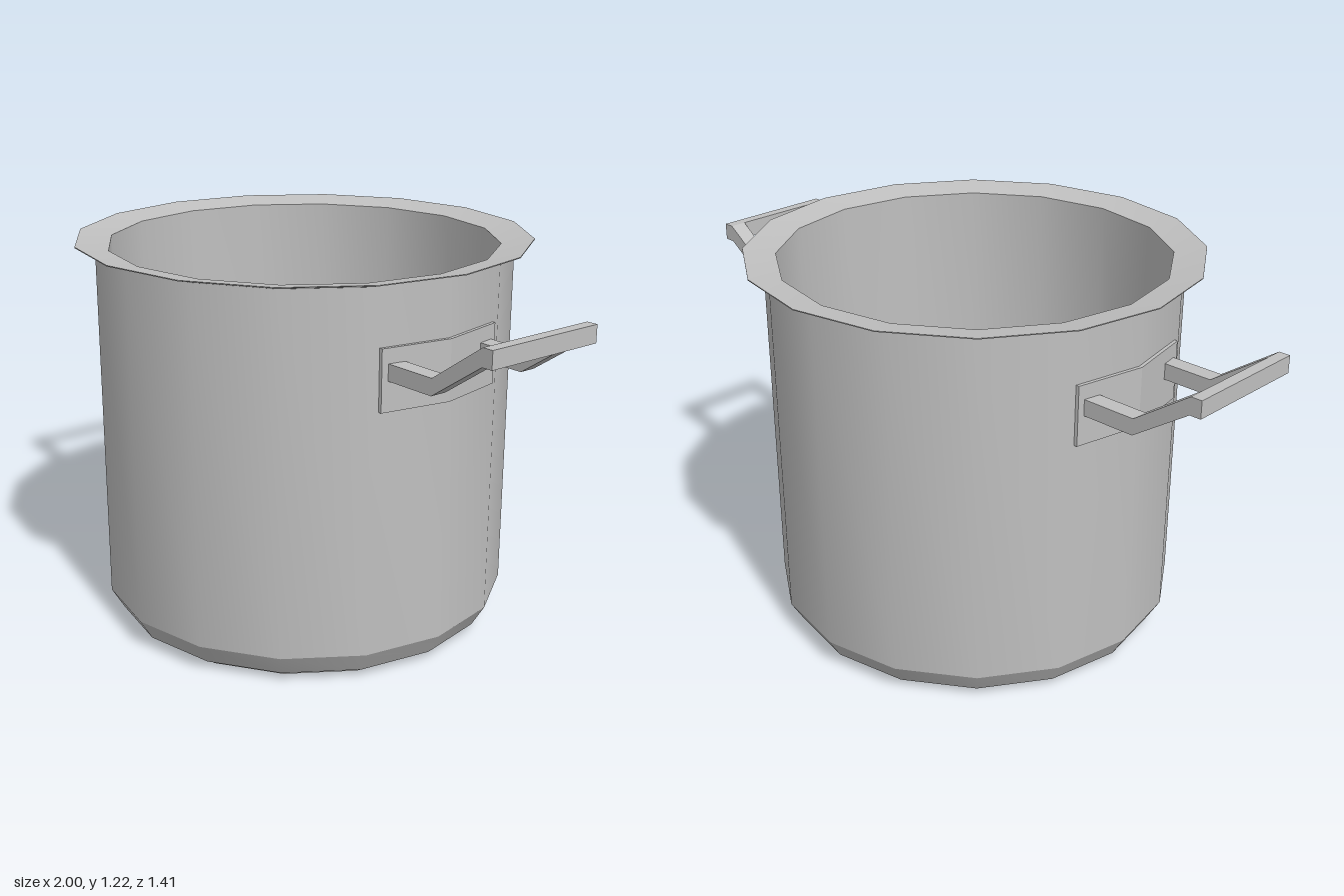
import * as THREE from 'three';
import { toCreasedNormals } from 'three/addons/utils/BufferGeometryUtils.js';

const steel = new THREE.MeshStandardMaterial({ color: 0xc0c0c0 });
steel.name = 'steel grey';

function part(name, geometry) {
  const mesh = new THREE.Mesh(geometry, steel);
  mesh.name = name;
  return mesh;
}

// Sixteen-sided turned part: smooth around, crisp along profile corners
function turned(name, profile) {
  const points = profile.map(([r, y]) => new THREE.Vector2(r, y));
  return part(name, toCreasedNormals(new THREE.LatheGeometry(points, 16), 0.45));
}

function extruded(outline, depth) {
  const shape = new THREE.Shape(outline.map(([x, y]) => new THREE.Vector2(x, y)));
  return new THREE.ExtrudeGeometry(shape, { depth, bevelEnabled: false });
}

function createHandle(name) {
  const handle = new THREE.Group();
  handle.name = name;

  // Mounting plate folded around the wall
  const plate = extruded([
    [0.592, -0.22], [0.612, -0.22], [0.656, 0], [0.612, 0.22], [0.592, 0.22], [0.636, 0],
  ], 0.185);
  plate.rotateX(-Math.PI / 2).translate(0, 0.84, 0);
  handle.add(part('mountingPlate', plate));

  // Two cranked arms
  const armOutline = [
    [0.612, 0.93], [0.785, 0.93], [0.965, 1.052], [1, 1.052],
    [1, 1.105], [0.965, 1.105], [0.785, 0.98], [0.612, 0.98],
  ];
  for (const z of [-0.2, 0.147]) {
    const arm = part('handleArm', extruded(armOutline, 0.053));
    arm.position.z = z;
    handle.add(arm);
  }

  // Grip joining the arms
  const grip = part('handleGrip', new THREE.BoxGeometry(0.035, 0.053, 0.294));
  grip.position.set(0.9825, 1.0785, 0);
  handle.add(grip);
  return handle;
}

export function createModel() {
  const pot = new THREE.Group();
  pot.name = 'cookingPot';

  // Outer wall, flared rim, inner wall and floor in one profile
  pot.add(turned('potBody', [
    [0, 0.025], [0.605, 0.025], [0.645, 0.093], [0.645, 1.198],
    [0.705, 1.214], [0.705, 1.217], [0.605, 1.2],
    [0.605, 0.11], [0.565, 0.05], [0, 0.05],
  ]));
  // Raised disc under the pot
  pot.add(turned('basePlate', [[0, 0], [0.565, 0], [0.565, 0.026]]));

  const left = createHandle('leftHandle');
  const right = createHandle('rightHandle');
  right.rotation.y = Math.PI;
  pot.add(left, right);
  return pot;
}
